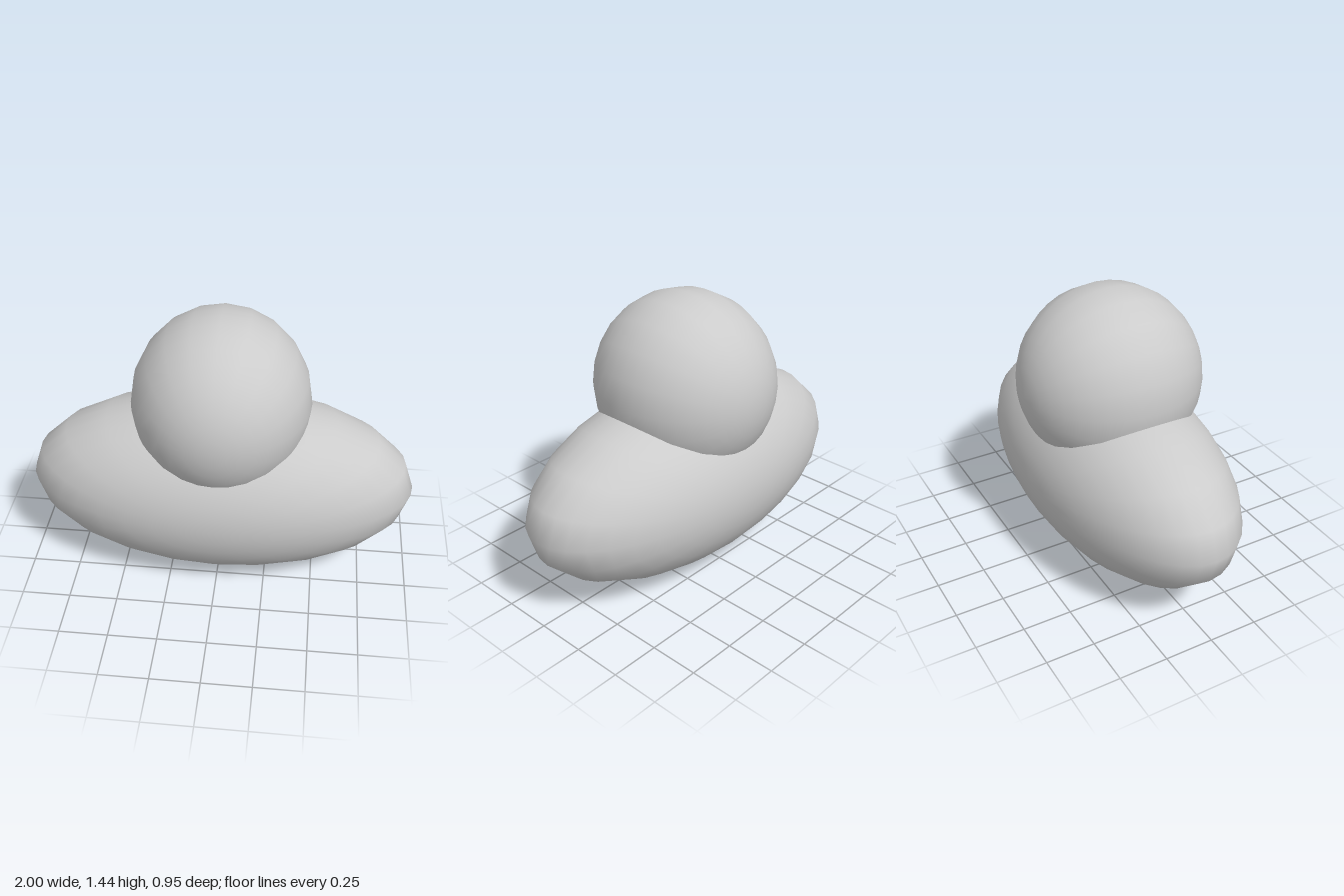
import * as THREE from 'three';

const material = new THREE.MeshStandardMaterial({ color: 0xcccccc });

// Smooth ellipsoid with its poles on the z axis
function ellipsoid(name, [rx, ry, rz], y) {
  const geometry = new THREE.SphereGeometry(1, 20, 20);
  geometry.rotateX(Math.PI / 2);
  geometry.scale(rx, ry, rz);
  const mesh = new THREE.Mesh(geometry, material);
  mesh.name = name;
  mesh.position.y = y;
  return mesh;
}

export function createModel() {
  const group = new THREE.Group();
  group.name = 'stackedEllipsoids';
  // Wide base lying along x
  group.add(ellipsoid('base', [1, 0.477, 0.473], 0.479));
  // Rounded dome sunk into the top of the base
  group.add(ellipsoid('dome', [0.453, 0.475, 0.473], 0.965));
  return group;
}
